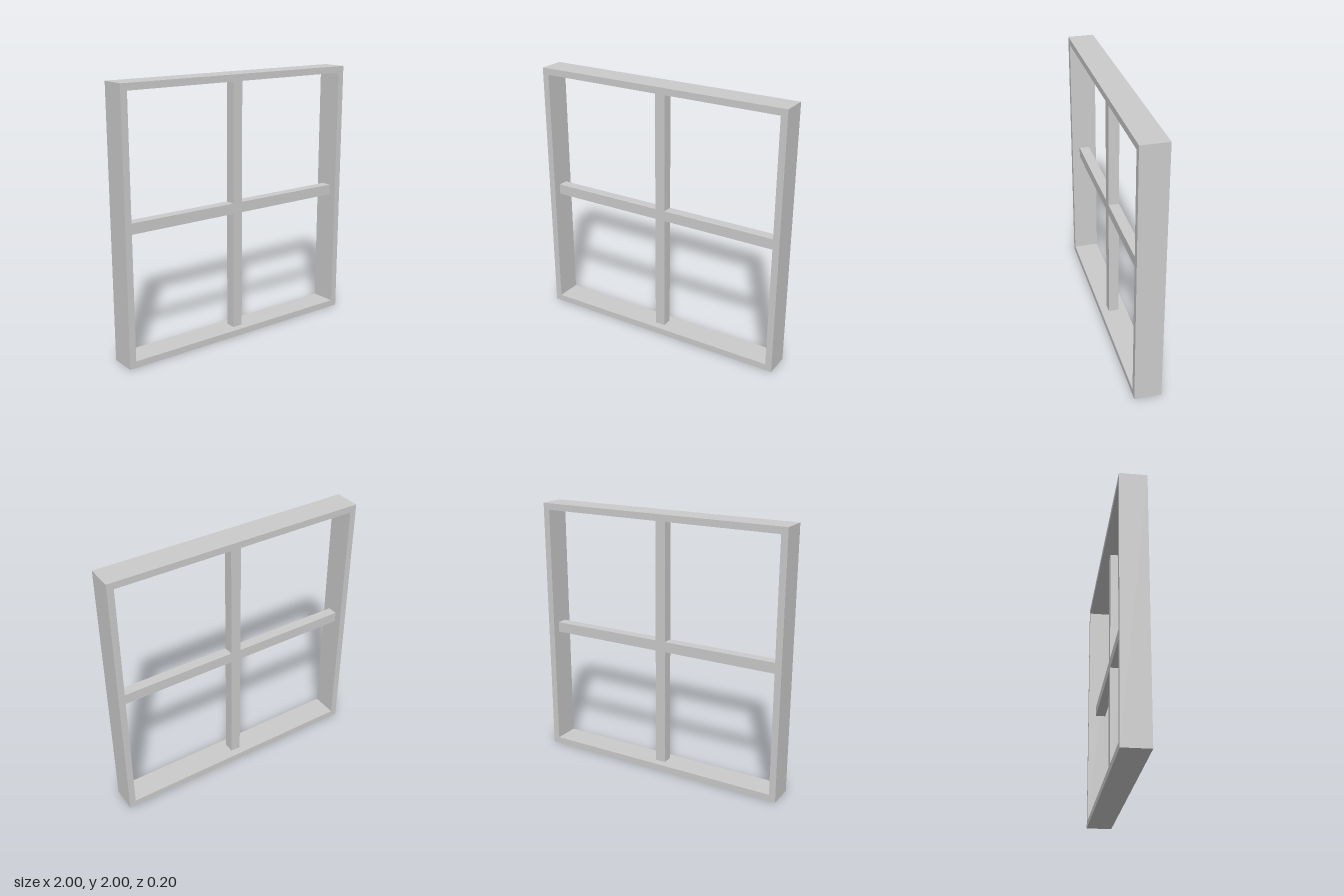
import * as THREE from 'three';

const SIZE = 2, RIM = 0.05, FRAME_DEPTH = 0.2, BAR = 0.08;

const material = new THREE.MeshStandardMaterial({ color: 0xcccccc, flatShading: true });

// Closed outline from corner points
const toPoints = (corners) => corners.map(([x, y]) => new THREE.Vector2(x, y));
const square = (h) => toPoints([[-h, -h], [h, -h], [h, h], [-h, h]]);

// Extrude a shape so its depth is centred on z = 0
function slab(name, shape, depth) {
  const geometry = new THREE.ExtrudeGeometry(shape, { depth, bevelEnabled: false });
  geometry.translate(0, SIZE / 2, -depth / 2);
  const mesh = new THREE.Mesh(geometry, material);
  mesh.name = name;
  return mesh;
}

export function createModel() {
  const group = new THREE.Group();
  group.name = 'windowFrame';
  const inner = SIZE / 2 - RIM;

  // Outer square frame with one opening
  const frame = new THREE.Shape(square(SIZE / 2));
  frame.holes.push(new THREE.Path(square(inner)));
  group.add(slab('outerFrame', frame, FRAME_DEPTH));

  // Crossed glazing bars, thinner than the frame and centred in its depth
  const b = BAR / 2;
  const cross = new THREE.Shape(toPoints([
    [-b, -inner], [b, -inner], [b, -b], [inner, -b], [inner, b], [b, b],
    [b, inner], [-b, inner], [-b, b], [-inner, b], [-inner, -b], [-b, -b],
  ]));
  group.add(slab('glazingBars', cross, BAR));

  return group;
}
